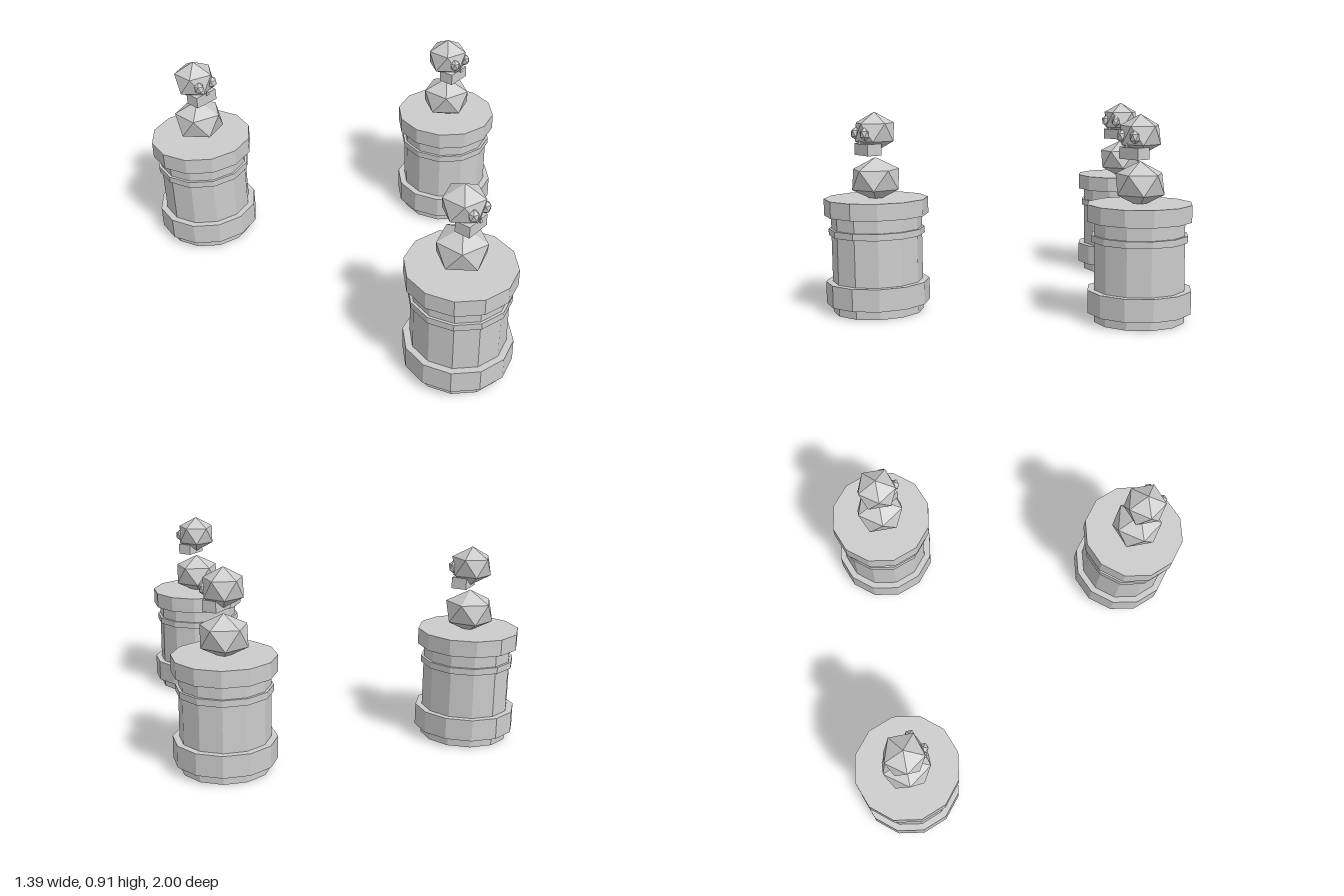
import * as THREE from 'three';

const stone = new THREE.MeshStandardMaterial({ color: 0xcccccc, flatShading: true });
stone.name = 'stone grey';

function add(parent, name, geometry, x, y, z) {
  const mesh = new THREE.Mesh(geometry, stone);
  mesh.name = name;
  mesh.position.set(x, y, z);
  parent.add(mesh);
  return mesh;
}

// Icosahedron standing on one vertex, with its upper ring pointing to +x
function gem(rx, ry, rz = rx) {
  const golden = (1 + Math.sqrt(5)) / 2;
  return new THREE.IcosahedronGeometry(1, 0).rotateZ(-Math.atan(1 / golden)).scale(rx, ry, rz);
}

// Twelve-sided drum between two heights
function drum(parent, name, radius, bottom, top) {
  add(parent, name, new THREE.CylinderGeometry(radius, radius, top - bottom, 12), 0, (top + bottom) / 2, 0);
}

function createPedestal() {
  const pedestal = new THREE.Group();
  pedestal.name = 'pedestal';
  drum(pedestal, 'column', 0.203, 0, 0.5);
  drum(pedestal, 'baseBand', 0.233, 0.042, 0.143);
  drum(pedestal, 'collarRing', 0.215, 0.355, 0.385);
  drum(pedestal, 'capital', 0.233, 0.445, 0.52);
  return pedestal;
}

function createBust() {
  const bust = new THREE.Group();
  bust.name = 'skullBust';
  add(bust, 'moundStone', gem(0.121, 0.1), 0, 0.604, 0);
  add(bust, 'cranium', gem(0.1, 0.09), 0, 0.818, 0);
  add(bust, 'jaw', new THREE.BoxGeometry(0.115, 0.052, 0.07), 0, 0.741, 0.036);
  for (const side of [-1, 1]) {
    add(bust, 'eye', gem(0.024, 0.03, 0.024), side * 0.039, 0.812, 0.073);
  }
  // Small three-sided nose, a flat side to the front
  const nose = new THREE.ConeGeometry(0.011, 0.022, 3).rotateY(Math.PI);
  add(bust, 'nose', nose, 0, 0.776, 0.08);
  return bust;
}

export function createModel() {
  const model = new THREE.Group();
  model.name = 'skullPedestals';
  for (const [x, z] of [[-0.46, -0.767], [-0.46, 0.767], [0.46, 0]]) {
    const statue = new THREE.Group();
    statue.name = 'statue';
    statue.position.set(x, 0, z);
    statue.add(createPedestal(), createBust());
    model.add(statue);
  }
  return model;
}
